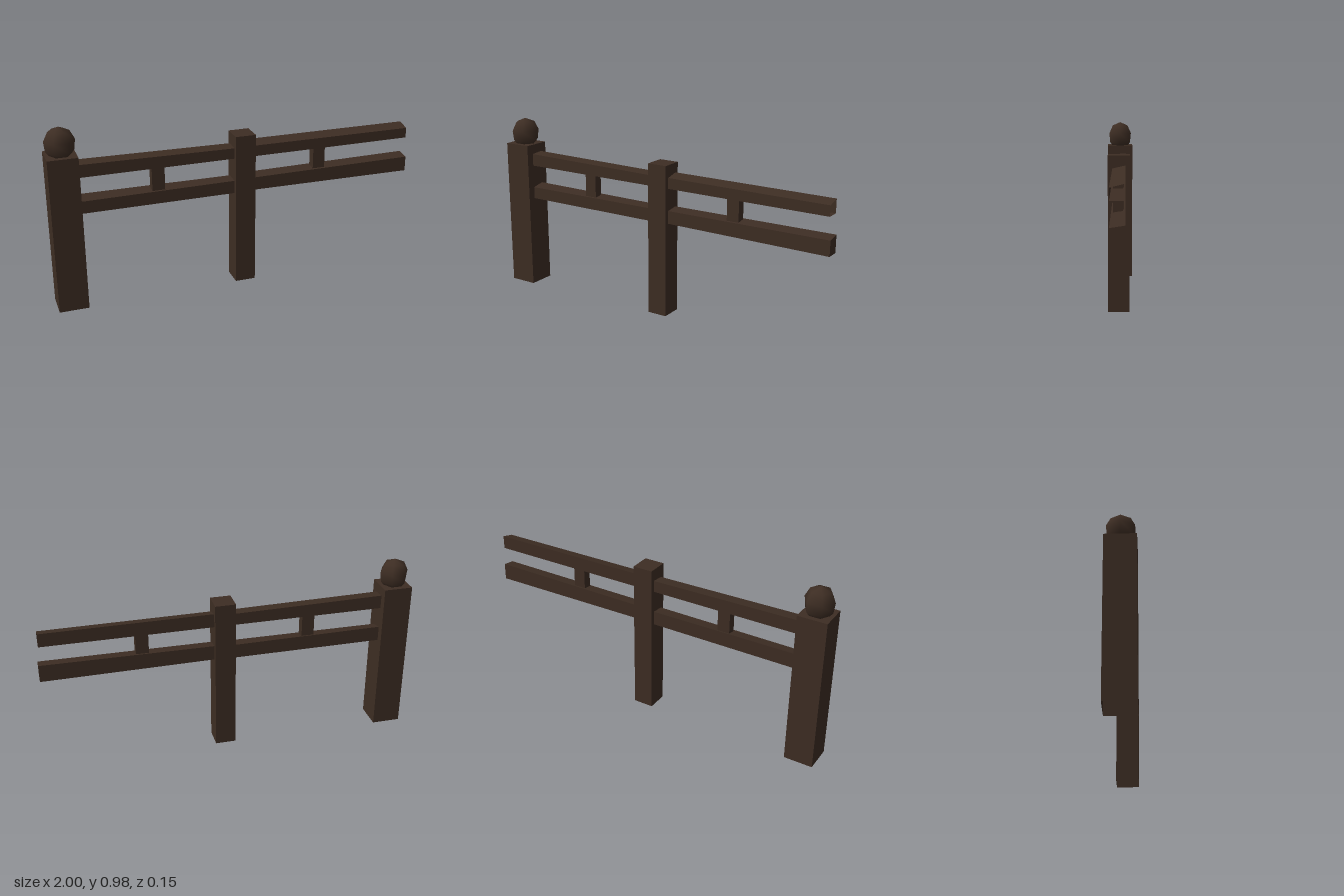
import * as THREE from 'three';

const FACES = ['px', 'nx', 'py', 'ny', 'pz', 'nz'];

// Box between two corners; open lists faces left out, bend(x, y, z) gives a new y
function block(x0, x1, y0, y1, z0, z1, open = [], bend = null) {
  const geo = new THREE.BoxGeometry(x1 - x0, y1 - y0, z1 - z0);
  geo.translate((x0 + x1) / 2, (y0 + y1) / 2, (z0 + z1) / 2);
  const index = Array.from(geo.index.array);
  geo.setIndex(index.filter((_, i) => !open.includes(FACES[Math.floor(i / 6)])));
  geo.clearGroups();
  if (bend) {
    const p = geo.attributes.position;
    for (let i = 0; i < p.count; i++) p.setY(i, bend(p.getX(i), p.getY(i), p.getZ(i)));
    geo.computeVertexNormals();
  }
  return geo;
}

// Hewn rail: heights given at its two ends, with the top sloping from back to front
function rail(x0, x1, bottom, front, back, open) {
  const mid = (bottom[0] + front[0]) / 2;
  return block(x0, x1, bottom[0], front[0], -0.036, 0.034, open, (x, y, z) => {
    const end = x < (x0 + x1) / 2 ? 0 : 1;
    return (y < mid ? bottom : z > 0 ? front : back)[end];
  });
}

export function createModel() {
  const group = new THREE.Group();
  const wood = new THREE.MeshStandardMaterial({ color: 0x3d2d23, side: THREE.DoubleSide });
  wood.name = 'dark wood';
  const add = (name, geo) => {
    const mesh = new THREE.Mesh(geo, wood);
    mesh.name = name;
    group.add(mesh);
    return mesh;
  };

  // Posts, hollow underneath
  add('endPost', block(-1, -0.845, 0, 0.835, -0.077, 0.077, ['ny']));
  add('middlePost', block(-0.026, 0.085, 0, 0.84, -0.058, 0.058, ['ny']));

  // Six-sided ball on the end post
  const profile = [[0.054, 0.832], [0.072, 0.855], [0.078, 0.909], [0.054, 0.957], [0, 0.979]]
    .map(([r, y]) => new THREE.Vector2(r, y));
  const finial = add('finial', new THREE.LatheGeometry(profile, 6, Math.PI / 2));
  finial.position.x = -0.922;

  // Rails on either side of the middle post
  add('upperRailRight', rail(-0.85, 0, [0.713, 0.713], [0.781, 0.77], [0.787, 0.776], ['px', 'nx']));
  add('upperRailLeft', rail(0.05, 0.99, [0.713, 0.713], [0.772, 0.769], [0.788, 0.786], ['px', 'nx']));
  add('lowerRailRight', rail(-0.85, 0, [0.518, 0.518], [0.584, 0.588], [0.599, 0.594], ['px', 'nx']));
  add('lowerRailLeft', rail(0.05, 1, [0.522, 0.515], [0.592, 0.597], [0.601, 0.608], ['nx']));

  // Short struts between the rails
  for (const [name, x] of [['strutRight', -0.436], ['strutLeft', 0.466]]) {
    add(name, block(x - 0.034, x + 0.034, 0.56, 0.768, -0.025, 0.023));
  }
  return group;
}
